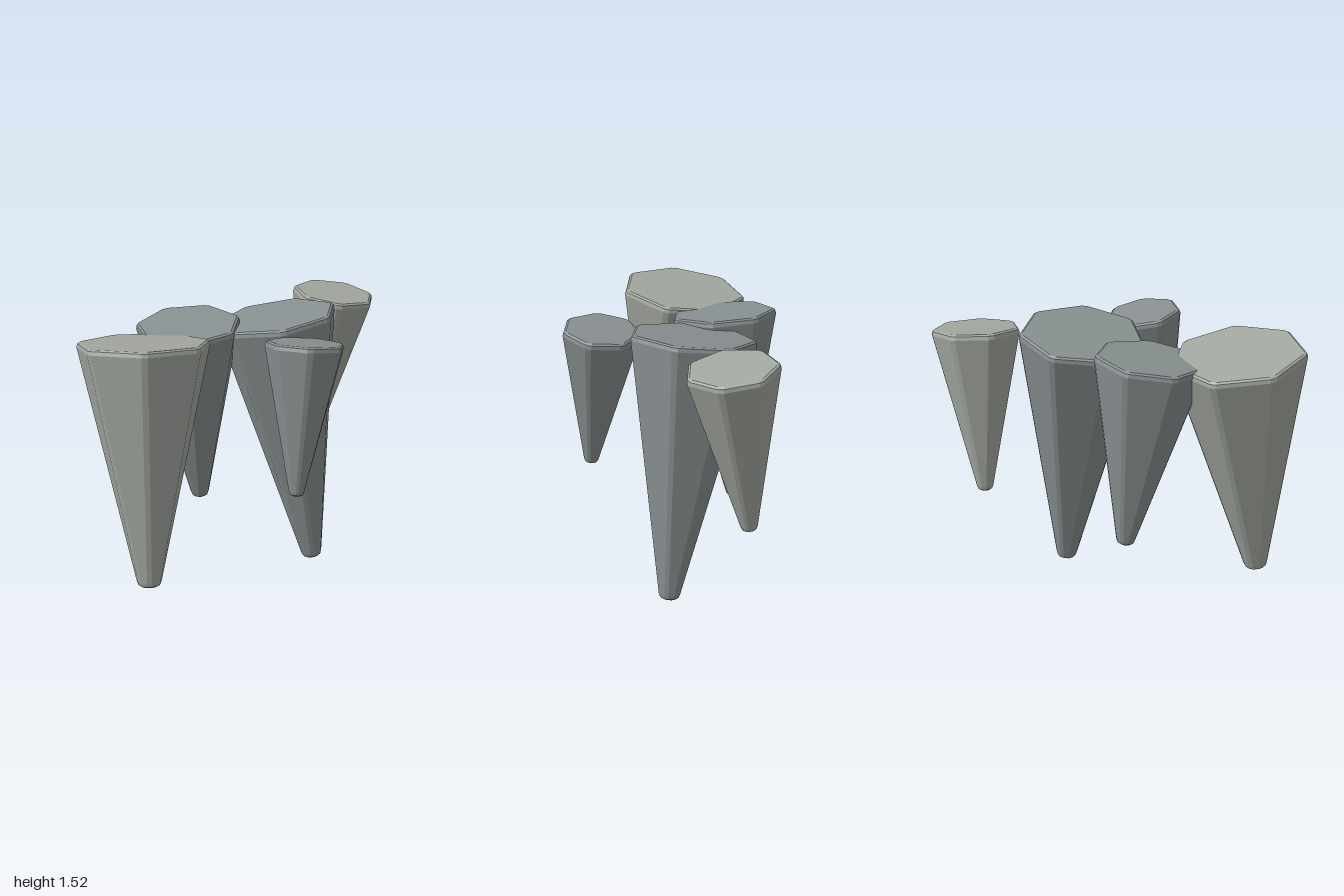
import * as THREE from 'three';

const SIDES = 7;
const paleStone = new THREE.MeshStandardMaterial({ color: 0xa3a8a0, flatShading: true });
const darkStone = new THREE.MeshStandardMaterial({ color: 0x899091, flatShading: true });

// One heptagonal outline with its corners chamfered, one corner towards -z
function ring(radius, y) {
  const corners = [];
  for (let i = 0; i < SIDES; i++) {
    const a = (i / SIDES) * Math.PI * 2;
    corners.push(new THREE.Vector3(Math.sin(a) * radius, y, -Math.cos(a) * radius));
  }
  const cut = Math.min(0.018, radius * 0.2) / (2 * radius * Math.sin(Math.PI / SIDES));
  const points = [];
  corners.forEach((c, i) => {
    points.push(c.clone().lerp(corners[(i + SIDES - 1) % SIDES], cut));
    points.push(c.clone().lerp(corners[(i + 1) % SIDES], cut));
  });
  return points;
}

// Tapered, bevelled shaft hanging down from y = 0
function spikeGeometry(topR, tipR, length) {
  const rings = [
    ring(topR - 0.018, 0), ring(topR - 0.005, -0.008), ring(topR, -0.028),
    ring(tipR, -length + 0.028), ring(tipR - 0.007, -length + 0.009), ring(tipR - 0.022, -length),
  ];
  const n = SIDES * 2;
  const pos = [];
  const tri = (a, b, c) => [a, b, c].forEach((p) => pos.push(p.x, p.y, p.z));
  const top = new THREE.Vector3(0, 0, 0);
  const bottom = new THREE.Vector3(0, -length, 0);
  for (let i = 0; i < n; i++) {
    const j = (i + 1) % n;
    tri(top, rings[0][j], rings[0][i]);
    for (let k = 0; k < rings.length - 1; k++) {
      const u = rings[k], d = rings[k + 1];
      tri(u[i], u[j], d[i]);
      tri(u[j], d[j], d[i]);
    }
    const last = rings[rings.length - 1];
    tri(bottom, last[i], last[j]);
  }
  const g = new THREE.BufferGeometry();
  g.setAttribute('position', new THREE.Float32BufferAttribute(pos, 3));
  g.computeVertexNormals();
  return g;
}

// Spike leaning from the centre of its flat top to its tip
function spike(name, top, tip, topR, tipR, material) {
  const from = new THREE.Vector3(...top);
  const axis = from.clone().sub(new THREE.Vector3(...tip));
  const mesh = new THREE.Mesh(spikeGeometry(topR, tipR, axis.length()), material);
  mesh.name = name;
  mesh.position.copy(from);
  mesh.quaternion.setFromUnitVectors(new THREE.Vector3(0, 1, 0), axis.normalize());
  return mesh;
}

export function createModel() {
  const group = new THREE.Group();
  group.name = 'stalactiteCluster';
  group.add(
    spike('largeRightSpike', [-0.645, 1.47, -0.03], [-0.73, 0.15, 0.13], 0.365, 0.073, paleStone),
    spike('backSpike', [-0.25, 1.46, -0.27], [-0.145, 0.39, -0.355], 0.3, 0.057, darkStone),
    spike('tallCentreSpike', [0.225, 1.475, -0.12], [0.415, 0.007, -0.005], 0.35, 0.065, darkStone),
    spike('smallFrontSpike', [0.1, 1.46, 0.375], [0, 0.64, 0.46], 0.22, 0.046, darkStone),
    spike('leftSpike', [0.76, 1.493, -0.335], [0.685, 0.575, -0.44], 0.247, 0.05, paleStone),
  );
  return group;
}
